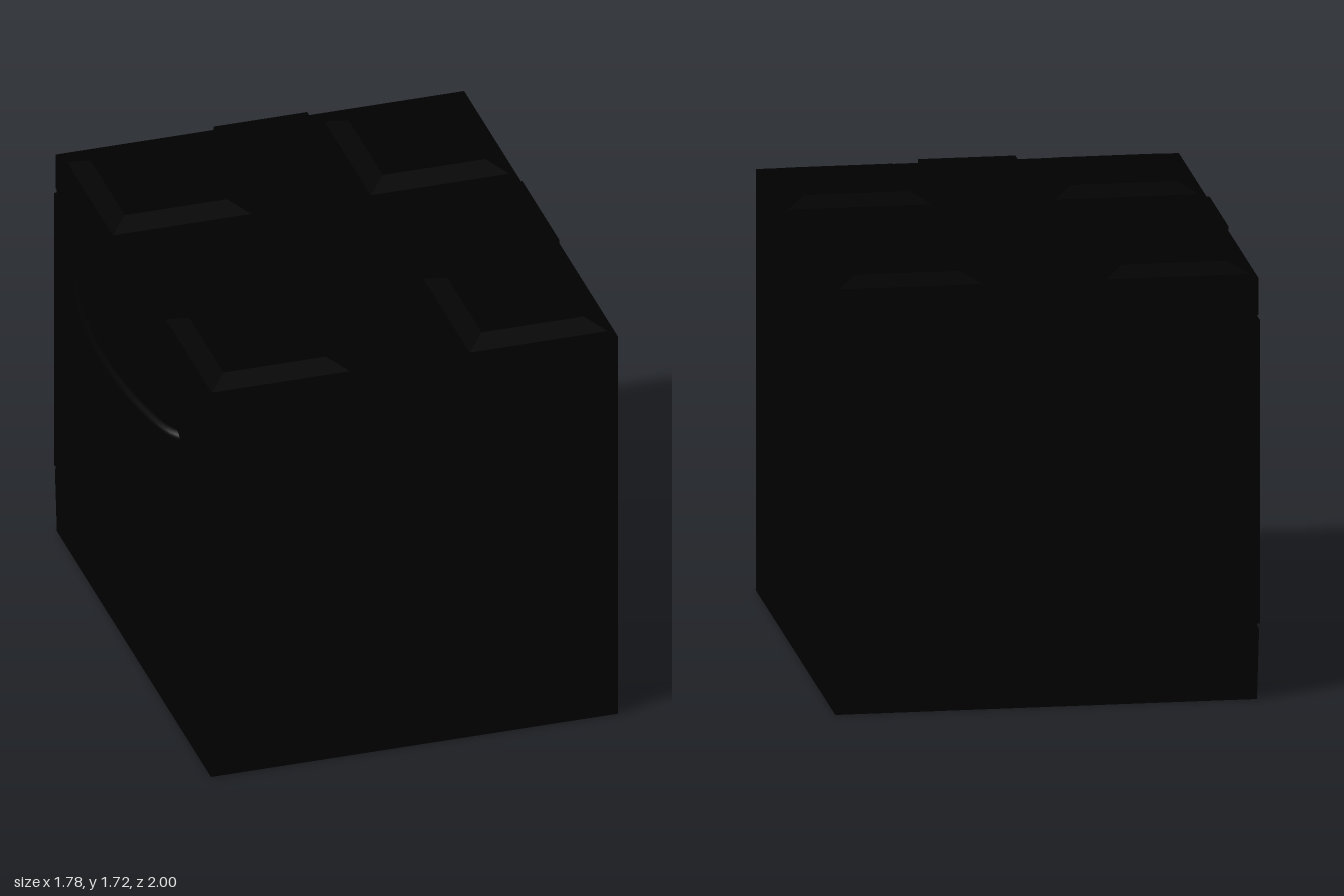
import * as THREE from 'three';

const material = new THREE.MeshStandardMaterial({ color: 0x000000, flatShading: true });
const smoothMaterial = new THREE.MeshStandardMaterial({ color: 0x000000 });

function add(parent, name, geometry, mat = material) {
  const mesh = new THREE.Mesh(geometry, mat);
  mesh.name = name;
  parent.add(mesh);
  return mesh;
}

function box(x0, x1, y0, y1, z0, z1) {
  return new THREE.BoxGeometry(x1 - x0, y1 - y0, z1 - z0)
    .translate((x0 + x1) / 2, (y0 + y1) / 2, (z0 + z1) / 2);
}

const rect = (a0, a1, b0, b1) => [[a0, b0], [a1, b0], [a1, b1], [a0, b1]].map(p => new THREE.Vector2(...p));

// Square-based frustum with its base at y = 0
function frustum(width, height, depth, taper) {
  return new THREE.CylinderGeometry(taper * Math.SQRT1_2, Math.SQRT1_2, 1, 4)
    .rotateY(Math.PI / 4).translate(0, 0.5, 0).scale(width, height, depth);
}

export function createModel() {
  const stove = new THREE.Group();
  stove.name = 'stove';
  const back = 0.885, front = -0.765, deck = 1.68;

  // Base with a round opening underneath
  const floor = new THREE.Shape(rect(front, back, -1, 1));
  floor.holes.push(new THREE.Path().absarc(-0.01, 0, 0.155, 0, Math.PI * 2, true));
  add(stove, 'base', new THREE.ExtrudeGeometry(floor, { depth: 0.3, bevelEnabled: false, curveSegments: 24 })
    .rotateX(-Math.PI / 2), smoothMaterial);
  add(stove, 'cabinet', box(front, back, 0.3, deck, -1, 1));

  // Cross-shaped strip between the four recessed cooking zones
  const cross = new THREE.Shape([
    [-0.13, -1], [0.25, -1], [0.25, -0.24], [back, -0.24], [back, 0.24], [0.25, 0.24],
    [0.25, 1], [-0.13, 1], [-0.13, 0.24], [-0.772, 0.24], [-0.772, -0.24], [-0.13, -0.24],
  ].map(p => new THREE.Vector2(...p)));
  add(stove, 'cooktopCross', new THREE.ExtrudeGeometry(cross, { depth: 0.015, bevelEnabled: false })
    .rotateX(-Math.PI / 2).translate(0, deck, 0));

  // Raised burner plates
  for (const x of [-0.465, 0.58]) {
    for (const z of [-0.635, 0.645]) {
      add(stove, 'burnerPlate', frustum(0.56, 0.035, 0.6, 0.74)).position.set(x, deck, z);
    }
  }

  // Control strip above the door and sloped drawer below it
  add(stove, 'controlStrip', box(-0.77, front, 1.53, deck, -1, 1));
  const slope = new THREE.Shape([[front, 0], [-0.773, 0.28], [front, 0.28]].map(p => new THREE.Vector2(...p)));
  add(stove, 'drawerFront', new THREE.ExtrudeGeometry(slope, { depth: 2, bevelEnabled: false })
    .translate(0, 0, -1), new THREE.MeshStandardMaterial({ color: 0x000000, flatShading: true, side: THREE.DoubleSide }));

  // Oven door: frame with an inset panel
  const frame = new THREE.Shape(rect(-1, 1, 0.3, 1.51));
  frame.holes.push(new THREE.Path(rect(-0.87, 0.89, 0.33, 1.45)));
  add(stove, 'doorFrame', new THREE.ExtrudeGeometry(frame, { depth: 0.012, bevelEnabled: false })
    .rotateY(-Math.PI / 2).translate(front, 0, 0));
  const panel = add(stove, 'doorPanel', frustum(1.1, 0.01, 1.7, 0.94).rotateZ(Math.PI / 2));
  panel.position.set(front, 0.89, 0.01);

  // Bowed door handle
  const points = [[-0.75, -0.7], [-0.79, -0.64], [-0.835, -0.43], [-0.86, -0.2], [-0.865, -0.04],
    [-0.86, 0.13], [-0.835, 0.36], [-0.79, 0.56], [-0.75, 0.62]];
  const path = new THREE.CatmullRomCurve3(points.map(([x, z]) => new THREE.Vector3(x, 1.3, z)));
  add(stove, 'doorHandle', new THREE.TubeGeometry(path, 48, 0.026, 14), smoothMaterial);

  return stove;
}
